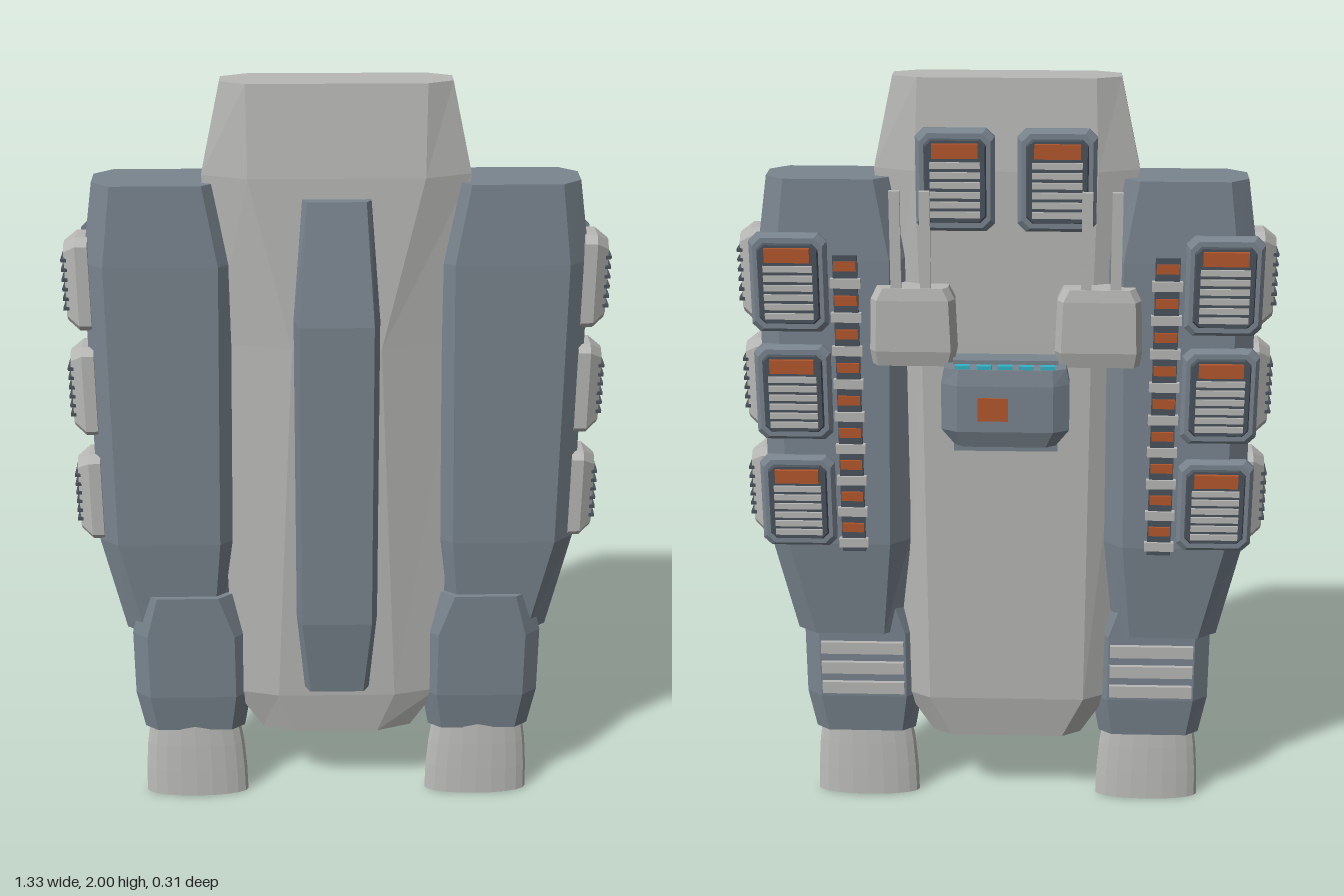
import * as THREE from 'three';

const mat = (name, color, extra = {}) => Object.assign(new THREE.MeshStandardMaterial({ color, flatShading: true, ...extra }), { name });

// Loft of chamfered rectangles along y. Section: [y, x0, x1, z0, z1, chamferX, chamferZ, (frontChamferX, frontChamferZ)]
function loft(sections) {
  const rings = sections.map(([y, x0, x1, z0, z1, cx, cz, fx = cx, fz = cz]) => [
    [x1, z1 - fz], [x1, z0 + cz], [x1 - cx, z0], [x0 + cx, z0],
    [x0, z0 + cz], [x0, z1 - fz], [x0 + fx, z1], [x1 - fx, z1],
  ].map(([x, z]) => [x, y, z]));
  const pos = [];
  const tri = (a, b, c) => pos.push(...a, ...b, ...c);
  for (let k = 0; k < rings.length - 1; k++) {
    const lo = rings[k], hi = rings[k + 1];
    for (let i = 0; i < 8; i++) {
      const j = (i + 1) % 8;
      tri(lo[i], lo[j], hi[j]);
      tri(lo[i], hi[j], hi[i]);
    }
  }
  const top = rings[rings.length - 1], bottom = rings[0];
  for (let i = 1; i < 7; i++) {
    tri(top[0], top[i], top[i + 1]);
    tri(bottom[0], bottom[i + 1], bottom[i]);
  }
  const g = new THREE.BufferGeometry();
  g.setAttribute('position', new THREE.Float32BufferAttribute(pos, 3));
  g.computeVertexNormals();
  return g;
}

// Bevelled block rising along +y from 0 to d
const block = (w, h, d, bevel, corner) => loft([
  [0, -w / 2, w / 2, -h / 2, h / 2, corner, corner],
  [d * 0.5, -w / 2, w / 2, -h / 2, h / 2, corner, corner],
  [d, -w / 2 + bevel, w / 2 - bevel, -h / 2 + bevel, h / 2 - bevel, corner, corner],
]);
const backBlock = (...a) => block(...a).rotateX(-Math.PI / 2); // rises towards -z

export function createModel() {
  const light = mat('hull grey', 0xb8b8b6);
  const blue = mat('blue grey', 0x7a858f);
  const dark = mat('dark grey', 0x4b535b);
  const orange = mat('orange', 0xb4572c);
  const cyan = mat('window cyan', 0x35b3c6);
  const nozzleMat = mat('nozzle grey', 0xbebebc, { side: THREE.DoubleSide });

  const root = new THREE.Group();
  root.name = 'ship';
  const add = (parent, name, geo, m, x = 0, y = 0, z = 0) => {
    const mesh = new THREE.Mesh(geo, m);
    mesh.name = name;
    mesh.position.set(x, y, z);
    parent.add(mesh);
    return mesh;
  };
  const box = (w, h, d) => new THREE.BoxGeometry(w, h, d);

  // Central hull
  add(root, 'hull', loft([
    [0.215, -0.2, 0.2, -0.03, 0.075, 0.05, 0.03, 0.09, 0.03],
    [0.34, -0.275, 0.275, -0.05, 0.09, 0.07, 0.04, 0.12, 0.03],
    [1.35, -0.3, 0.3, -0.055, 0.1, 0.09, 0.04, 0.19, 0.05],
    [1.78, -0.32, 0.32, -0.055, 0.085, 0.1, 0.035, 0.11, 0.035],
    [2, -0.272, 0.272, -0.035, 0.06, 0.06, 0.025],
  ]), light);

  // Raised spine on the front
  add(root, 'spine', loft([
    [0.375, -0.085, 0.085, 0.05, 0.125, 0.001, 0.001, 0.015, 0.025],
    [0.6, -0.105, 0.105, 0.05, 0.155, 0.001, 0.001, 0.015, 0.05],
    [1.43, -0.105, 0.105, 0.05, 0.155, 0.001, 0.001, 0.015, 0.05],
    [1.73, -0.082, 0.082, 0.05, 0.108, 0.001, 0.001, 0.012, 0.015],
  ]), blue);

  // Louvred hatch on the back
  function hatch(x, y, z) {
    const g = new THREE.Group();
    g.name = 'hatch';
    g.position.set(x, y, z + 0.005);
    add(g, 'hatchFrame', backBlock(0.19, 0.25, 0.02, 0.01, 0.02), blue);
    add(g, 'hatchRecess', backBlock(0.155, 0.21, 0.027, 0.006, 0.015), dark);
    add(g, 'hatchLight', box(0.11, 0.035, 0.02), orange, 0, 0.075, -0.027);
    for (let i = 0; i < 6; i++) add(g, 'hatchSlat', box(0.12, 0.015, 0.012), light, 0, 0.04 - i * 0.024, -0.027);
    root.add(g);
  }

  for (const s of [1, -1]) {
    const side = (list) => list.map(([y, a, b, ...r]) => (s > 0 ? [y, a, b, ...r] : [y, -b, -a, ...r]));

    // Side pod and lower engine housing
    add(root, 'sidePod', loft(side([
      [0.525, 0.275, 0.555, -0.04, 0.065, 0.05, 0.035],
      [0.8, 0.25, 0.612, -0.07, 0.085, 0.05, 0.04],
      [1.56, 0.235, 0.612, -0.07, 0.085, 0.05, 0.04],
      [1.76, 0.275, 0.582, -0.06, 0.075, 0.045, 0.035],
    ])), blue);
    add(root, 'engineHousing', loft(side([
      [0.215, 0.25, 0.52, -0.015, 0.065, 0.035, 0.025],
      [0.33, 0.23, 0.54, -0.03, 0.08, 0.04, 0.03],
      [0.52, 0.23, 0.54, -0.03, 0.083, 0.04, 0.03],
      [0.64, 0.27, 0.51, -0.03, 0.086, 0.04, 0.03],
    ])), blue);
    for (let i = 0; i < 3; i++) add(root, 'housingLouvre', box(0.22, 0.034, 0.02), light, s * 0.385, 0.48 - i * 0.06, -0.031);

    // Flattened engine nozzle with a closed throat
    const profile = [[0.001, 0.04], [0.125, 0.03], [0.13, 0], [0.14, 0], [0.138, 0.08], [0.132, 0.16], [0.122, 0.23]];
    const nozzle = new THREE.LatheGeometry(profile.map((p) => new THREE.Vector2(...p)), 20);
    add(root, 'nozzle', nozzle.scale(1, 1, 0.24), nozzleMat, s * 0.385, 0, 0.037);

    for (const y of [0.925, 1.22, 1.505]) {
      // Vents on the outer edge
      const vent = add(root, 'sideVent', block(0.24, 0.095, 0.06, 0.02, 0.018), light, s * 0.598, y, 0.02);
      vent.rotation.z = -s * Math.PI / 2;
      for (let i = 0; i < 6; i++) add(root, 'ventSlat', box(0.014, 0.008, 0.068), dark, s * 0.658, y - 0.062 + i * 0.025, 0.02);
      hatch(s * 0.53, y, -0.07);
    }
    hatch(s * 0.122, 1.76, -0.055);

    // Ladder of service blocks beside the hatches
    add(root, 'serviceStrip', box(0.06, 0.79, 0.012), dark, s * 0.392, 1.18, -0.073);
    for (let i = 0; i < 18; i++) {
      const odd = i % 2;
      add(root, odd ? 'serviceLight' : 'serviceRung', box(odd ? 0.055 : 0.075, 0.024, 0.014), odd ? orange : light, s * 0.392, 0.81 + i * 0.0435, -0.078);
    }

    // Twin-barrel turret
    add(root, 'turret', loft(side([
      [1.3, 0.13, 0.33, -0.095, -0.03, 0.015, 0.02],
      [1.34, 0.12, 0.335, -0.105, -0.03, 0.015, 0.02],
      [1.47, 0.125, 0.33, -0.105, -0.03, 0.015, 0.02],
      [1.5, 0.14, 0.315, -0.1, -0.03, 0.015, 0.02],
    ])), light);
    for (const x of [0.195, 0.267]) add(root, 'barrel', box(0.026, 0.27, 0.014), light, s * x, 1.605, -0.09);
  }

  // Bridge block with its neck and window row
  add(root, 'bridgeNeck', box(0.26, 0.24, 0.06), blue, 0, 1.2, -0.075);
  add(root, 'bridge', loft([
    [1.105, -0.125, 0.125, -0.14, -0.085, 0.025, 0.015],
    [1.15, -0.158, 0.158, -0.155, -0.085, 0.04, 0.02],
    [1.27, -0.158, 0.158, -0.155, -0.085, 0.04, 0.02],
    [1.31, -0.15, 0.15, -0.148, -0.085, 0.035, 0.015],
  ]), blue);
  for (let i = -2; i <= 2; i++) add(root, 'bridgeWindow', box(0.036, 0.014, 0.014), cyan, i * 0.052, 1.312, -0.138);
  add(root, 'bridgePatch', box(0.075, 0.06, 0.006), orange, 0.03, 1.21, -0.156);

  return root;
}
